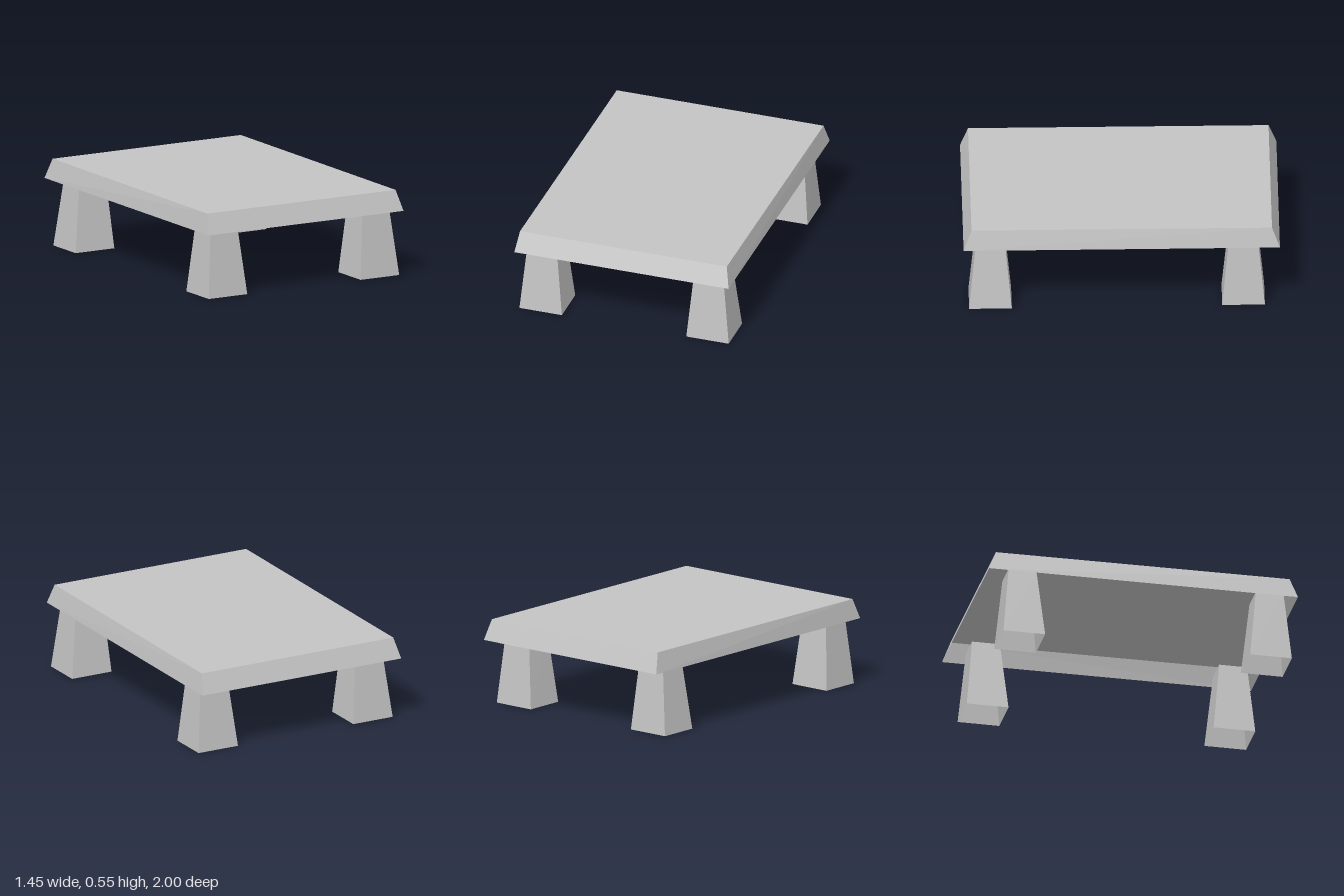
import * as THREE from 'three';

// Four corners, anticlockwise seen from above, starting at front -x.
// Each edge is given as [xMin, xMax, z].
const ring = (y, [fx0, fx1, fz], [bx0, bx1, bz]) => [
  [fx0, y, fz], [fx1, y, fz], [bx1, y, bz], [bx0, y, bz],
];

// Tapered four-sided shell, open underneath, with an optional flat top.
function shell(bottom, top, capped) {
  const points = [];
  for (let i = 0; i < 4; i++) {
    const j = (i + 1) % 4;
    points.push(bottom[i], bottom[j], top[j], bottom[i], top[j], top[i]);
  }
  if (capped) points.push(top[0], top[1], top[2], top[0], top[2], top[3]);
  const geometry = new THREE.BufferGeometry();
  geometry.setAttribute('position', new THREE.Float32BufferAttribute(points.flat(), 3));
  geometry.computeVertexNormals();
  return geometry;
}

export function createModel() {
  const model = new THREE.Group();
  model.name = 'lowTable';
  const grey = new THREE.MeshStandardMaterial({ color: 0xc4c4c4, side: THREE.DoubleSide, flatShading: true });
  grey.name = 'grey';

  const add = (name, geometry) => {
    const mesh = new THREE.Mesh(geometry, grey);
    mesh.name = name;
    model.add(mesh);
  };

  // Hollow table top with sloping rims, very slightly skewed
  add('tableTop', shell(
    ring(0.42, [-0.708, 0.725, 1], [-0.728, 0.709, -1]),
    ring(0.55, [-0.687, 0.696, 0.95], [-0.698, 0.685, -0.95]),
    true,
  ));

  // Hollow legs, wider at the floor: name, bottom centre x, top centre x, centre z
  const legs = [
    ['frontLeftLeg', 0.57, 0.564, 0.83],
    ['frontRightLeg', -0.546, -0.55, 0.83],
    ['backLeftLeg', 0.543, 0.55, -0.77],
    ['backRightLeg', -0.575, -0.566, -0.77],
  ];
  const legRing = (y, x, z, halfX, halfZ, skew) => ring(
    y,
    [x - halfX + skew, x + halfX + skew, z + halfZ],
    [x - halfX - skew, x + halfX - skew, z - halfZ],
  );
  for (const [name, bottomX, topX, z] of legs) {
    add(name, shell(
      legRing(0, bottomX, z, 0.142, 0.135, 0.002),
      legRing(0.46, topX, z, 0.096, 0.09, 0.001),
      false,
    ));
  }
  return model;
}
